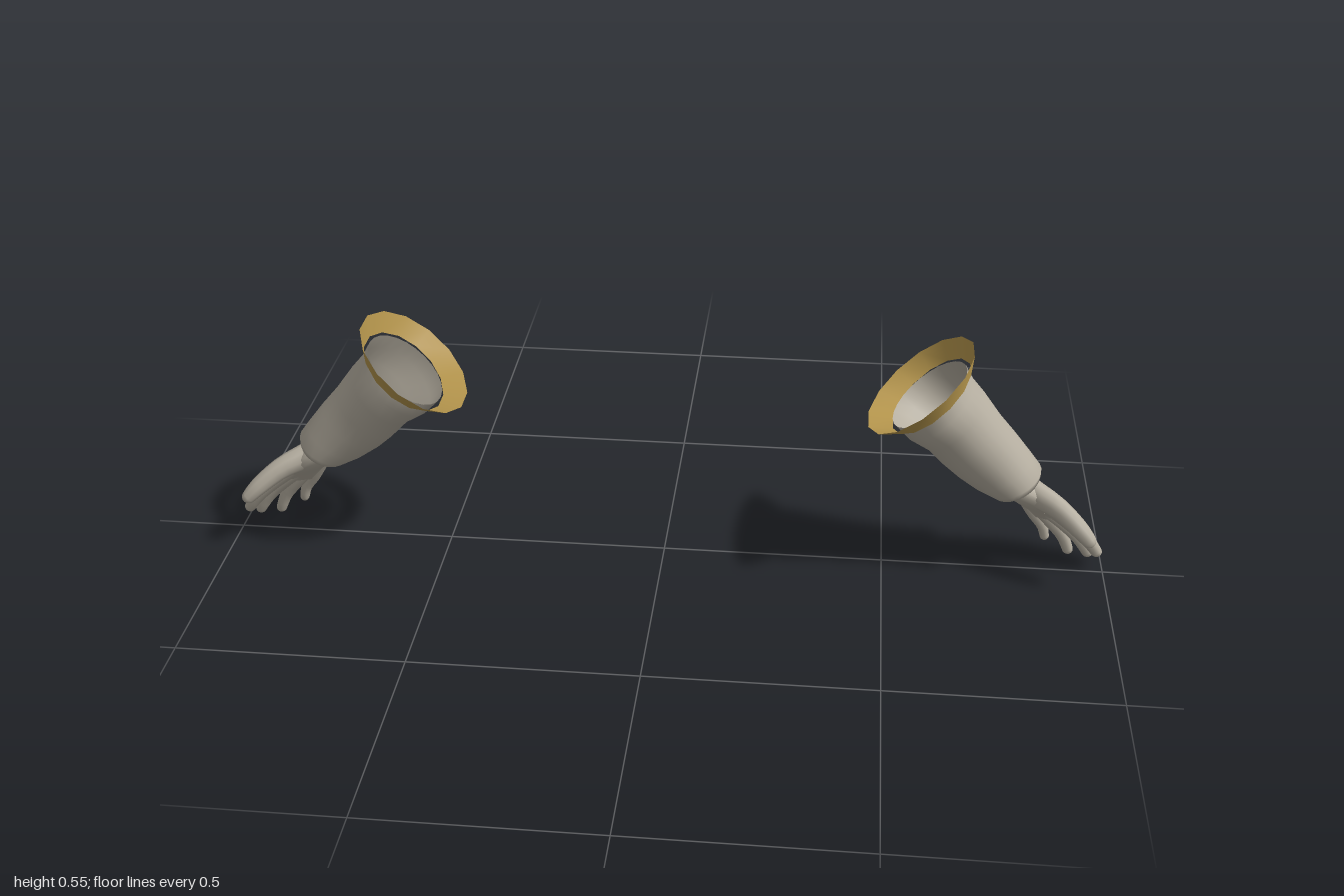
import * as THREE from 'three';

const cloth = new THREE.MeshStandardMaterial({ color: 0xb5aea0, side: THREE.DoubleSide });
cloth.name = 'greyCloth';
const gold = new THREE.MeshStandardMaterial({ color: 0xb8984e, side: THREE.DoubleSide });
gold.name = 'gold';

// Skin elliptical sections: [x, y, z, radius in z, radius in the arm plane, angle of that axis, tilt]
function loft(name, sections, sides, material, side) {
  const pos = [], index = [];
  for (const [x, y, z, rz, rp, deg, tilt = 0] of sections) {
    const a = THREE.MathUtils.degToRad(deg);
    for (let j = 0; j < sides; j++) {
      const t = (j / sides) * Math.PI * 2;
      const w = rz * Math.cos(t);
      const p = rp * Math.sin(t) + tilt * w;
      pos.push(side * (x + Math.cos(a) * p), y + Math.sin(a) * p, z + w);
    }
  }
  for (let i = 0; i < sections.length - 1; i++) {
    for (let j = 0; j < sides; j++) {
      const k = (j + 1) % sides;
      const a = i * sides + j, b = i * sides + k, c = a + sides, d = b + sides;
      if (side > 0) index.push(a, c, b, b, c, d);
      else index.push(a, b, c, b, d, c);
    }
  }
  const geometry = new THREE.BufferGeometry();
  geometry.setAttribute('position', new THREE.Float32BufferAttribute(pos, 3));
  geometry.setIndex(index);
  geometry.computeVertexNormals();
  const mesh = new THREE.Mesh(geometry, material);
  mesh.name = name;
  return mesh;
}

// Tapered digit along a path of [x, y, z, radius], with a rounded tip
function digit(name, path, side) {
  const curve = new THREE.CatmullRomCurve3(path.map(([x, y, z]) => new THREE.Vector3(x, y, z)));
  const sections = [];
  const n = path.length - 1;
  for (let i = 0; i <= 8; i++) {
    const u = (i / 8) * n, k = Math.min(Math.floor(u), n - 1);
    const r = THREE.MathUtils.lerp(path[k][3], path[k + 1][3], u - k);
    const c = curve.getPoint(i / 8), d = curve.getTangent(i / 8);
    const deg = THREE.MathUtils.radToDeg(Math.atan2(d.x, -d.y));
    sections.push([c.x, c.y, c.z, r, r, deg]);
  }
  const end = curve.getPoint(1), dir = curve.getTangent(1);
  const r = path[n][3], deg = sections[8][5];
  for (const q of [0.5, 0.85, 1]) {
    const s = r * Math.sqrt(1 - q * q);
    const c = end.clone().addScaledVector(dir, r * q);
    sections.push([c.x, c.y, c.z, s, s, deg]);
  }
  return loft(name, sections, 10, cloth, side);
}

function glove(side) {
  const group = new THREE.Group();
  group.name = side > 0 ? 'leftGlove' : 'rightGlove';

  // Flared band round the open end of the sleeve
  group.add(loft('goldBand', [
    [0.56, 0.457, 0, 0.16, 0.145, 40],
    [0.585, 0.431, 0, 0.126, 0.108, 41],
  ], 14, gold, side));

  // Open sleeve with a hem turned in at the wrist
  group.add(loft('sleeve', [
    [0.581, 0.436, 0.002, 0.107, 0.1, 40],
    [0.605, 0.405, 0.002, 0.108, 0.095, 42],
    [0.641, 0.375, 0, 0.098, 0.087, 45],
    [0.68, 0.327, -0.003, 0.086, 0.083, 42],
    [0.715, 0.29, -0.006, 0.081, 0.08, 38],
    [0.755, 0.25, -0.01, 0.079, 0.073, 32],
    [0.781, 0.227, -0.013, 0.08, 0.066, 27],
    [0.787, 0.217, -0.013, 0.077, 0.058, 27],
    [0.784, 0.223, -0.013, 0.058, 0.042, 27],
  ], 24, cloth, side));

  // Palm, turned so that the little finger lies lower
  group.add(loft('palm', [
    [0.765, 0.245, -0.012, 0.055, 0.038, 38, 0],
    [0.8, 0.21, -0.012, 0.06, 0.037, 42, 0.1],
    [0.83, 0.177, -0.02, 0.061, 0.033, 43, 0.35],
    [0.857, 0.145, -0.036, 0.051, 0.026, 43, 0.65],
    [0.872, 0.122, -0.043, 0.046, 0.02, 43, 0.8],
    [0.88, 0.112, -0.044, 0.03, 0.011, 43, 0.8],
    [0.881, 0.111, -0.044, 0, 0, 43, 0],
  ], 18, cloth, side));

  const digits = {
    thumb: [[0.815, 0.21, 0.005, 0.032], [0.875, 0.19, 0.04, 0.025], [0.925, 0.155, 0.068, 0.021], [0.948, 0.133, 0.079, 0.017]],
    indexFinger: [[0.87, 0.16, -0.01, 0.021], [0.91, 0.127, -0.008, 0.018], [0.955, 0.085, -0.008, 0.016], [0.983, 0.047, -0.012, 0.013]],
    middleFinger: [[0.86, 0.145, -0.034, 0.02], [0.9, 0.11, -0.037, 0.018], [0.943, 0.065, -0.042, 0.016], [0.968, 0.025, -0.045, 0.013]],
    ringFinger: [[0.845, 0.135, -0.058, 0.019], [0.874, 0.1, -0.062, 0.017], [0.91, 0.053, -0.069, 0.015], [0.927, 0.013, -0.072, 0.0125]],
    littleFinger: [[0.825, 0.132, -0.075, 0.017], [0.842, 0.1, -0.081, 0.015], [0.865, 0.065, -0.086, 0.013], [0.873, 0.036, -0.088, 0.011]],
  };
  for (const [name, path] of Object.entries(digits)) group.add(digit(name, path, side));
  return group;
}

export function createModel() {
  const model = new THREE.Group();
  model.name = 'glovePair';
  model.add(glove(1), glove(-1));
  return model;
}
